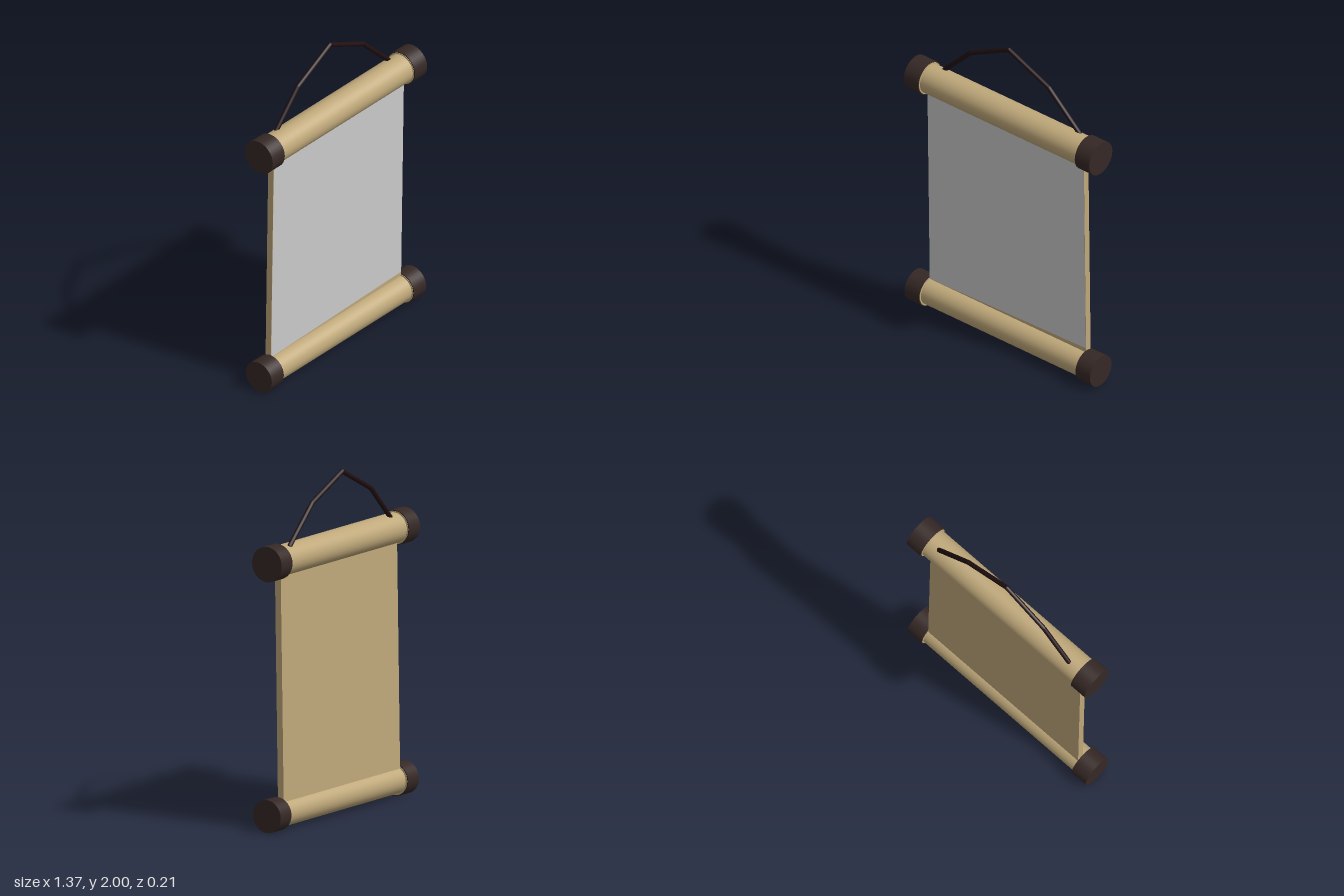
import * as THREE from 'three';

const paper = new THREE.MeshStandardMaterial({ color: 0xbfa87a });
const wood = new THREE.MeshStandardMaterial({ color: 0x352825 });
const rope = new THREE.MeshStandardMaterial({ color: 0x200f11 });
const grey = new THREE.MeshStandardMaterial({ color: 0xcccccc });

function add(parent, name, geometry, material) {
  const mesh = new THREE.Mesh(geometry, material);
  mesh.name = name;
  parent.add(mesh);
  return mesh;
}

// A horizontal roll of paper with a dark cap on each end
function makeRoller(name, y, rollRadius, capRadius) {
  const roller = new THREE.Group();
  roller.name = name;
  roller.position.y = y;
  const cylinder = (part, r, length, x, material) => {
    const geometry = new THREE.CylinderGeometry(r, r, length, 32).rotateZ(Math.PI / 2);
    add(roller, part, geometry, material).position.x = x;
  };
  cylinder('roll', rollRadius, 1.18, 0, paper);
  for (const side of [-1, 1]) {
    cylinder(side > 0 ? 'leftCap' : 'rightCap', capRadius, 0.107, side * 0.633, wood);
    cylinder('capCollar', capRadius - 0.006, 0.004, side * 0.579, paper);
  }
  return roller;
}

// Hanging sheet: a thin slab that leans back towards the bottom
function makeSheet() {
  const sheet = new THREE.Group();
  sheet.name = 'sheet';
  const top = 1.5, bottom = 0.1, half = 0.578;
  const lean = (y) => -0.022 * (top - y) / (top - bottom);

  const slab = new THREE.BoxGeometry(half * 2, top - bottom, 0.04);
  slab.translate(0, (top + bottom) / 2, 0);
  const p = slab.attributes.position;
  for (let i = 0; i < p.count; i++) p.setZ(i, p.getZ(i) + lean(p.getY(i)));
  slab.computeVertexNormals();
  add(sheet, 'backing', slab, paper);

  // Grey picture face, its lower edge slightly askew
  const outline = [[-half, 0.18], [half, 0.207], [half, 1.464], [-half, 1.464]];
  const face = new THREE.ShapeGeometry(new THREE.Shape(outline.map(([x, y]) => new THREE.Vector2(x, y))));
  const f = face.attributes.position;
  for (let i = 0; i < f.count; i++) f.setZ(i, 0.022 + lean(f.getY(i)));
  face.computeVertexNormals();
  add(sheet, 'pictureFace', face, grey);
  return sheet;
}

// Hanging cord: straight segments with rounded joints
function makeCord() {
  const cord = new THREE.Group();
  cord.name = 'hangingCord';
  const points = [[-0.495, 1.64], [-0.303, 1.84], [-0.018, 1.986], [0.278, 1.853], [0.503, 1.64]]
    .map(([x, y]) => new THREE.Vector3(x, y, -0.03));
  for (let i = 0; i < points.length - 1; i++) {
    const step = points[i + 1].clone().sub(points[i]);
    const segment = add(cord, 'cordSegment', new THREE.CapsuleGeometry(0.014, step.length(), 6, 12), rope);
    segment.position.copy(points[i]).addScaledVector(step, 0.5);
    segment.quaternion.setFromUnitVectors(new THREE.Vector3(0, 1, 0), step.normalize());
  }
  return cord;
}

export function createModel() {
  const model = new THREE.Group();
  model.name = 'hangingScroll';
  model.add(
    makeRoller('topRoller', 1.56, 0.089, 0.103),
    makeRoller('bottomRoller', 0.097, 0.081, 0.096),
    makeSheet(),
    makeCord(),
  );
  return model;
}
